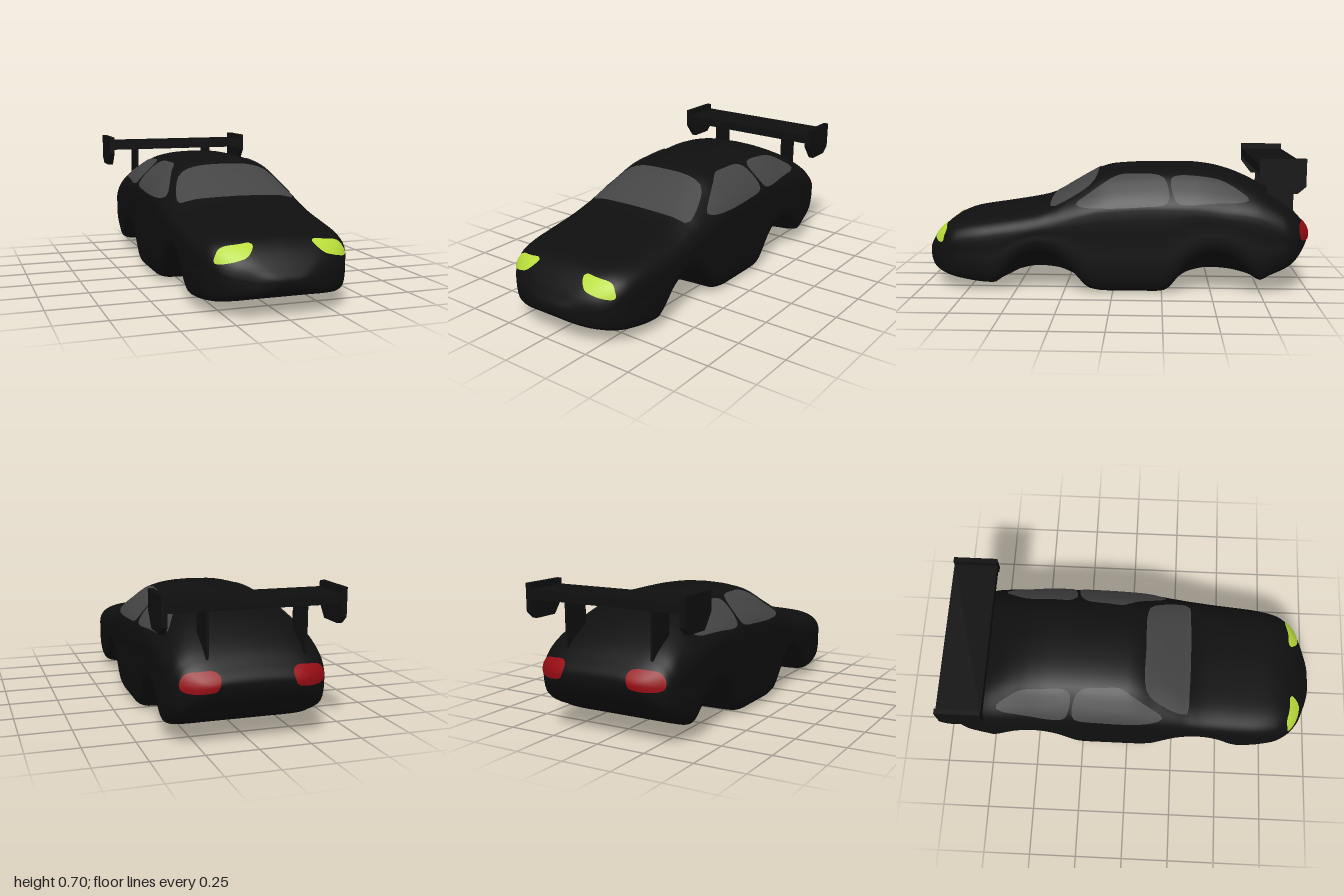
import * as THREE from 'three';

const CX = 0.01; // the shell sits slightly off the wing's centre line

// Smooth lookup in a [z, value] table; cosine spacing keeps nose and tail round
function profile(table) {
  const s = table.map(p => Math.acos(THREE.MathUtils.clamp(p[0], -1, 1)));
  const v = table.map(p => p[1]);
  const n = s.length;
  const slope = i => {
    if (i === 0) return (v[1] - v[0]) / (s[1] - s[0]);
    if (i === n - 1) return (v[n - 1] - v[n - 2]) / (s[n - 1] - s[n - 2]);
    const a = (v[i] - v[i - 1]) / (s[i] - s[i - 1]);
    const b = (v[i + 1] - v[i]) / (s[i + 1] - s[i]);
    return a * b <= 0 ? 0 : 2 * a * b / (a + b);
  };
  return t => {
    let i = 0;
    while (i < n - 2 && t > s[i + 1]) i++;
    const h = s[i + 1] - s[i], u = (t - s[i]) / h;
    const u2 = u * u, u3 = u2 * u;
    return v[i] * (2 * u3 - 3 * u2 + 1) + slope(i) * h * (u3 - 2 * u2 + u)
      + v[i + 1] * (3 * u2 - 2 * u3) + slope(i + 1) * h * (u3 - u2);
  };
}

const topLine = profile([[1, .17], [.98, .215], [.95, .26], [.9, .312], [.85, .345], [.78, .367], [.6, .395],
  [.4, .43], [.32, .458], [.25, .5], [.15, .56], [.06, .606], [0, .62], [-.2, .63], [-.4, .63], [-.5, .62],
  [-.6, .595], [-.7, .555], [-.8, .5], [-.9, .43], [-.96, .37], [-1, .3]]);
const floorLine = profile([[1, .17], [.98, .12], [.9, .08], [.8, .055], [.62, .035], [.57, .04], [.5, .07], [.4, .085],
  [.3, .078], [.2, .045], [.1, .008], [.04, 0], [-.22, 0], [-.28, .01], [-.4, .07], [-.5, .085], [-.6, .08],
  [-.73, .06], [-.8, .09], [-.9, .14], [-.97, .22], [-1, .3]]);
const halfWidth = profile([[1, .03], [.97, .17], [.93, .26], [.88, .315], [.8, .352], [.65, .37], [.3, .376],
  [0, .38], [-.7, .38], [-.85, .372], [-.92, .352], [-.97, .29], [-1, .18]]);
const shoulder = profile([[1, .1], [.4, .1], [.2, .15], [0, .2], [-.5, .2], [-.75, .15], [-1, .1]]);
const cabin = profile([[1, 0], [.36, 0], [.08, 1], [-.55, 1], [-.9, 0], [-1, 0]]);

// Upper corner of a section: [fraction of half width, fraction of shoulder drop]
const HOOD = [[0, 0], [.4, .04], [.7, .14], [.88, .38], [.96, .65]];
const ROOF = [[0, 0], [.35, .04], [.62, .18], [.81, .48], [.94, .76]];

// Half section from the top centre down the side to the floor centre
function halfSection(t, count) {
  const z = Math.cos(t), top = topLine(t), low = floorLine(t), w = halfWidth(t), k = cabin(t);
  const h = top - low, drop = Math.min(shoulder(t), .45 * h);
  const arch = c => Math.pow(Math.max(0, 1 - ((z - c) / .24) ** 2), 1.3);
  const lift = .12 * Math.max(arch(.37), arch(-.51));
  const side = low + lift, r = Math.min(.09 - lift * .3, .4 * h);
  const pts = HOOD.map((p, i) => [
    THREE.MathUtils.lerp(p[0], ROOF[i][0], k),
    top - drop * THREE.MathUtils.lerp(p[1], ROOF[i][1], k)]);
  pts.push([1, top - drop], [1, (top - drop + side + r) / 2], [1, side + r], [.965, side + .32 * r],
    [.87, side + .07 * r], [.7, low + lift * .7], [.45, low + lift * .1], [0, low]);
  const curve = new THREE.CatmullRomCurve3(pts.map(p => new THREE.Vector3(p[0] * w, p[1], z)), false, 'centripetal');
  return curve.getPoints(count);
}

function bodyGeometry() {
  const rows = 130, half = 36, ring = half * 2, pos = [], idx = [];
  for (let i = 0; i <= rows; i++) {
    const pts = halfSection(Math.PI * i / rows, half);
    for (let j = 0; j < ring; j++) {
      const p = pts[j <= half ? j : ring - j];
      pos.push(CX + (j <= half ? p.x : -p.x), p.y, p.z);
    }
  }
  for (let i = 0; i < rows; i++) for (let j = 0; j < ring; j++) {
    const a = i * ring + j, b = i * ring + (j + 1) % ring;
    idx.push(a, b, a + ring, b, b + ring, a + ring);
  }
  const g = new THREE.BufferGeometry();
  g.setAttribute('position', new THREE.Float32BufferAttribute(pos, 3));
  g.setIndex(idx);
  g.computeVertexNormals();
  return g;
}

// Lays a rounded outline onto the body; place(u, v) gives the start of each projecting ray
function patch(body, outline, place, dir) {
  const segs = 44, rings = 6, pos = [], idx = [];
  const curve = new THREE.CatmullRomCurve3(outline.map(p => new THREE.Vector3(p[0], p[1], 0)), true, 'centripetal');
  const edge = curve.getSpacedPoints(segs).slice(0, segs);
  const mid = edge.reduce((m, p) => m.addScaledVector(p, 1 / segs), new THREE.Vector3());
  const ray = new THREE.Raycaster(), facing = new THREE.Vector3();
  const project = p => {
    ray.set(place(p.x, p.y), dir);
    const hit = ray.intersectObject(body)[0];
    if (!hit) return project(p.clone().lerp(mid, .05));
    const q = hit.point.addScaledVector(hit.face.normal, .005);
    pos.push(q.x, q.y, q.z);
  };
  project(mid);
  for (let r = 1; r <= rings; r++) edge.forEach(p => project(mid.clone().lerp(p, r / rings)));
  for (let j = 0; j < segs; j++) {
    const k = (j + 1) % segs;
    idx.push(0, 1 + j, 1 + k);
    for (let r = 0; r < rings - 1; r++) {
      const a = 1 + r * segs, b = a + segs;
      idx.push(a + j, b + j, b + k, a + j, b + k, a + k);
    }
  }
  const g = new THREE.BufferGeometry();
  g.setAttribute('position', new THREE.Float32BufferAttribute(pos, 3));
  g.setIndex(idx);
  g.computeVertexNormals();
  facing.fromBufferAttribute(g.attributes.normal, 0);
  if (facing.dot(dir) > 0) {
    g.setIndex(idx.reverse());
    g.computeVertexNormals();
  }
  return g;
}

export function createModel() {
  const group = new THREE.Group();
  const paint = new THREE.MeshStandardMaterial({ color: 0x0f0f0f });
  const tinted = color => new THREE.MeshStandardMaterial({ color, side: THREE.DoubleSide });
  const glass = tinted(0x444444), lamp = tinted(0xb8dc3a), tail = tinted(0x960c14);
  const add = (name, geometry, material) => {
    const m = new THREE.Mesh(geometry, material);
    m.name = name;
    group.add(m);
    return m;
  };

  const body = add('body', bodyGeometry(), paint);

  // Windscreen, outlined in x and z
  add('windscreen', patch(body, [[-.3, .28], [-.24, .11], [-.19, .087], [0, .084], [.21, .087], [.26, .11], [.32, .28],
    [.315, .312], [.2, .322], [.01, .325], [-.18, .322], [-.295, .312]],
  (x, z) => new THREE.Vector3(x, 2, z), new THREE.Vector3(0, -1, 0)), glass);

  // Side windows in z and y, lamps in x and y, mirrored about the body
  const frontWindow = [[.185, .45], [.12, .5], [.03, .56], [-.03, .587], [-.12, .593], [-.23, .589], [-.265, .57],
    [-.285, .49], [-.27, .46], [-.15, .445], [0, .437], [.15, .438]];
  const rearWindow = [[-.293, .57], [-.32, .585], [-.45, .582], [-.55, .562], [-.63, .52], [-.685, .478],
    [-.66, .467], [-.5, .462], [-.35, .456], [-.32, .468]];
  const headlight = [[.143, .32], [.155, .327], [.2, .324], [.27, .314], [.295, .3], [.317, .255], [.312, .247],
    [.22, .262], [.18, .277]];
  const taillight = [[.17, .34], [.19, .358], [.26, .358], [.31, .35], [.335, .32], [.335, .285], [.31, .272],
    [.22, .274], [.185, .285]];
  for (const s of [1, -1]) {
    const name = s > 0 ? 'left' : 'right';
    const fromSide = (z, y) => new THREE.Vector3(s * 2, y, z);
    const inward = new THREE.Vector3(-s, 0, 0);
    add(name + 'FrontWindow', patch(body, frontWindow, fromSide, inward), glass);
    add(name + 'RearWindow', patch(body, rearWindow, fromSide, inward), glass);
    add(name + 'Headlight', patch(body, headlight, (x, y) => new THREE.Vector3(CX + s * x, y, 2),
      new THREE.Vector3(0, 0, -1)), lamp);
    add(name + 'Taillight', patch(body, taillight, (x, y) => new THREE.Vector3(CX + s * x, y, -2),
      new THREE.Vector3(0, 0, 1)), tail);
  }

  // Rear wing: blade, end plates and struts
  const plate = (name, outline, x, thick) => {
    const shape = new THREE.Shape(outline.map(([z, y]) => new THREE.Vector2(-z, y)));
    const g = new THREE.ExtrudeGeometry(shape, { depth: thick, bevelEnabled: false });
    g.translate(0, 0, -thick / 2).rotateY(Math.PI / 2);
    add(name, g, paint).position.x = x;
  };
  add('wingBlade', new THREE.BoxGeometry(.83, .046, .225), paint).position.set(0, .643, -.832);
  for (const s of [1, -1]) {
    const name = s > 0 ? 'left' : 'right';
    plate(name + 'EndPlate', [[-.717, .695], [-.717, .6], [-.775, .525], [-.905, .525], [-.945, .56], [-.945, .695]],
      s * .416, .027);
    plate(name + 'WingStrut', [[-.78, .63], [-.78, .49], [-.92, .39], [-.92, .63]], -.014 + s * .232, .012);
  }
  return group;
}
